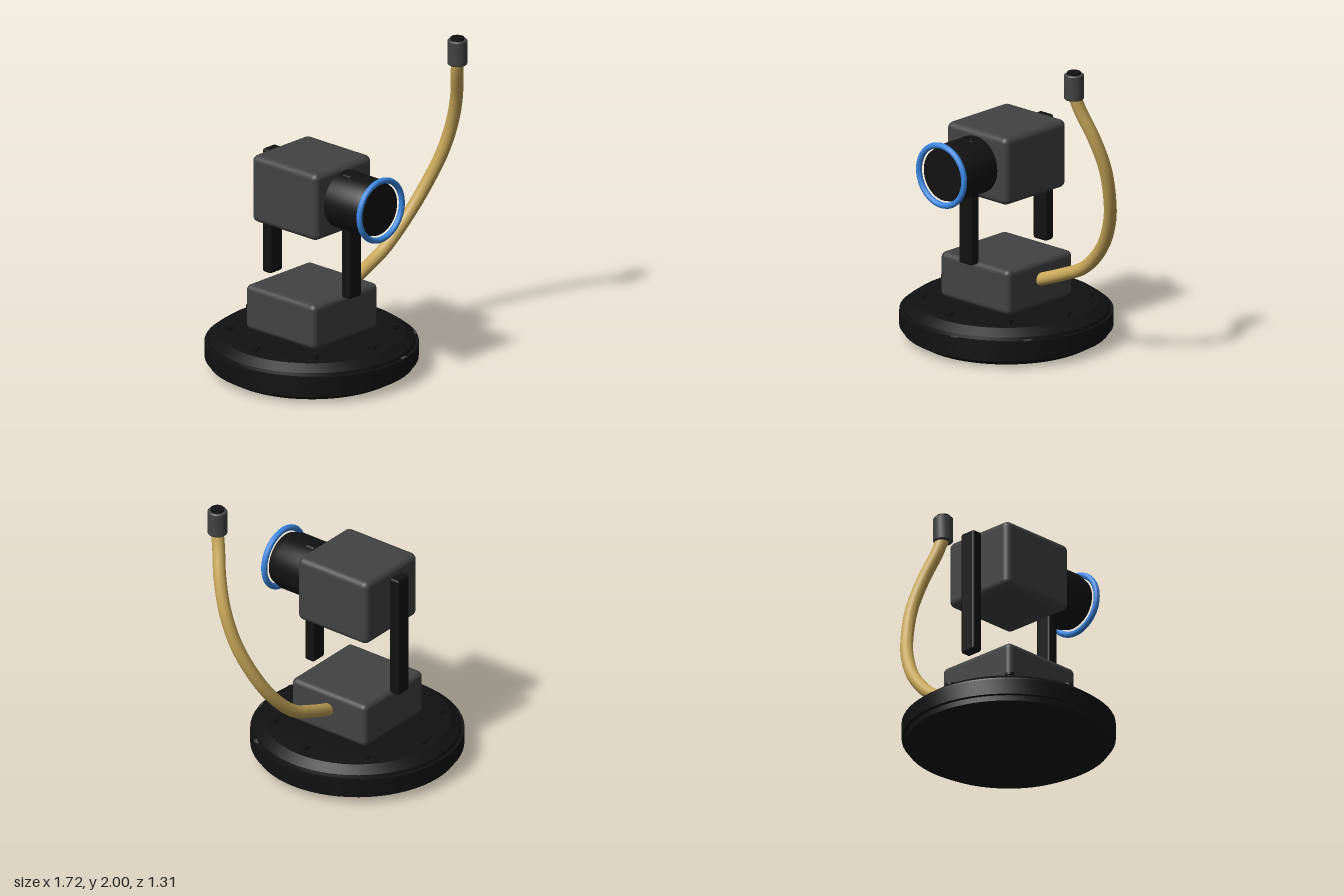
import * as THREE from 'three';
import { RoundedBoxGeometry } from 'three/addons/geometries/RoundedBoxGeometry.js';
import { toCreasedNormals } from 'three/addons/utils/BufferGeometryUtils.js';

const CX = -0.21; // axis of the base and head

function material(name, color) {
  const m = new THREE.MeshStandardMaterial({ color });
  m.name = name;
  return m;
}

export function createModel() {
  const black = material('black rubber', 0x111111);
  const grey = material('dark grey housing', 0x424242);
  const brass = material('brass hose', 0xc8a85a);
  const blue = material('blue ring', 0x3a86e0);
  const model = new THREE.Group();

  const add = (name, geometry, mat, x, y, z, parent = model) => {
    const mesh = new THREE.Mesh(geometry, mat);
    mesh.name = name;
    mesh.position.set(x, y, z);
    parent.add(mesh);
    return mesh;
  };
  const lathe = (points, segments = 64) => toCreasedNormals(
    new THREE.LatheGeometry(points.map(([r, y]) => new THREE.Vector2(r, y)), segments), 0.4);

  // Round base with a protruding bumper band
  add('base', lathe([
    [0, 0], [0.55, 0], [0.63, 0.045], [0.63, 0.08], [0.655, 0.08], [0.655, 0.18],
    [0.635, 0.18], [0.63, 0.2], [0.57, 0.242], [0.44, 0.262], [0, 0.265],
  ]), black, CX, 0, 0);

  // Bolts around the top of the base
  const bolts = new THREE.Group();
  bolts.name = 'baseBolts';
  model.add(bolts);
  for (let i = 0; i < 8; i++) {
    const a = (i * Math.PI) / 4;
    const x = CX + 0.51 * Math.cos(a), z = 0.51 * Math.sin(a);
    add('boltHead', new THREE.CylinderGeometry(0.03, 0.03, 0.016, 12), black, x, 0.272, z, bolts);
    add('boltStem', new THREE.CylinderGeometry(0.02, 0.02, 0.03, 12), black, x, 0.252, z, bolts);
  }

  // Small tabs on the bumper band
  for (const deg of [35, 76]) {
    const a = THREE.MathUtils.degToRad(deg);
    const tab = add('rimTab', new THREE.BoxGeometry(0.02, 0.008, 0.045), grey,
      CX + 0.643 * Math.cos(a), 0.182, 0.643 * Math.sin(a));
    tab.rotation.y = -a;
  }

  // Lower housing, head and the two upright posts
  add('lowerHousing', new RoundedBoxGeometry(0.58, 0.29, 0.58, 4, 0.035), grey, CX, 0.405, 0);
  add('head', new RoundedBoxGeometry(0.51, 0.435, 0.545, 4, 0.04), grey, CX, 1.172, 0);
  for (const [name, z] of [['frontPost', 0.333], ['backPost', -0.328]]) {
    add(name, new RoundedBoxGeometry(0.11, 0.805, 0.072, 2, 0.015), black, CX, 0.953, z);
  }

  // Lens barrel, tapering at the front
  const barrel = add('lensBarrel', lathe([
    [0, 0], [0.182, 0], [0.182, 0.26], [0.165, 0.32], [0, 0.32],
  ], 48), black, CX, 1.173, 0.24);
  barrel.rotation.x = Math.PI / 2;
  add('lensRing', new THREE.TorusGeometry(0.19, 0.019, 12, 64), blue, CX, 1.173, 0.576);

  // Curved hose rising from the side of the lower housing
  const path = new THREE.CatmullRomCurve3([
    [0.07, 0.43, 0], [0.25, 0.5, -0.01], [0.44, 0.59, -0.008], [0.62, 0.77, 0.025],
    [0.74, 0.98, 0.085], [0.8, 1.17, 0.15], [0.82, 1.37, 0.212], [0.79, 1.57, 0.278],
    [0.73, 1.75, 0.337], [0.705, 1.86, 0.368],
  ].map((p) => new THREE.Vector3(...p)));
  add('hose', new THREE.TubeGeometry(path, 64, 0.04, 16), brass, 0, 0, 0);
  const cap = add('hoseStartCap', new THREE.CircleGeometry(0.04, 16), brass, 0.07, 0.43, 0);
  cap.lookAt(path.getPoint(0).sub(path.getTangent(0)));

  // Nozzle with a black opening
  add('nozzle', lathe([
    [0, 0], [0.056, 0], [0.061, 0.006], [0.061, 0.154], [0.056, 0.16], [0, 0.16],
  ], 32), grey, 0.705, 1.825, 0.365);
  add('nozzleOpening', new THREE.CylinderGeometry(0.042, 0.042, 0.03, 32), black, 0.705, 1.985, 0.365);

  return model;
}
